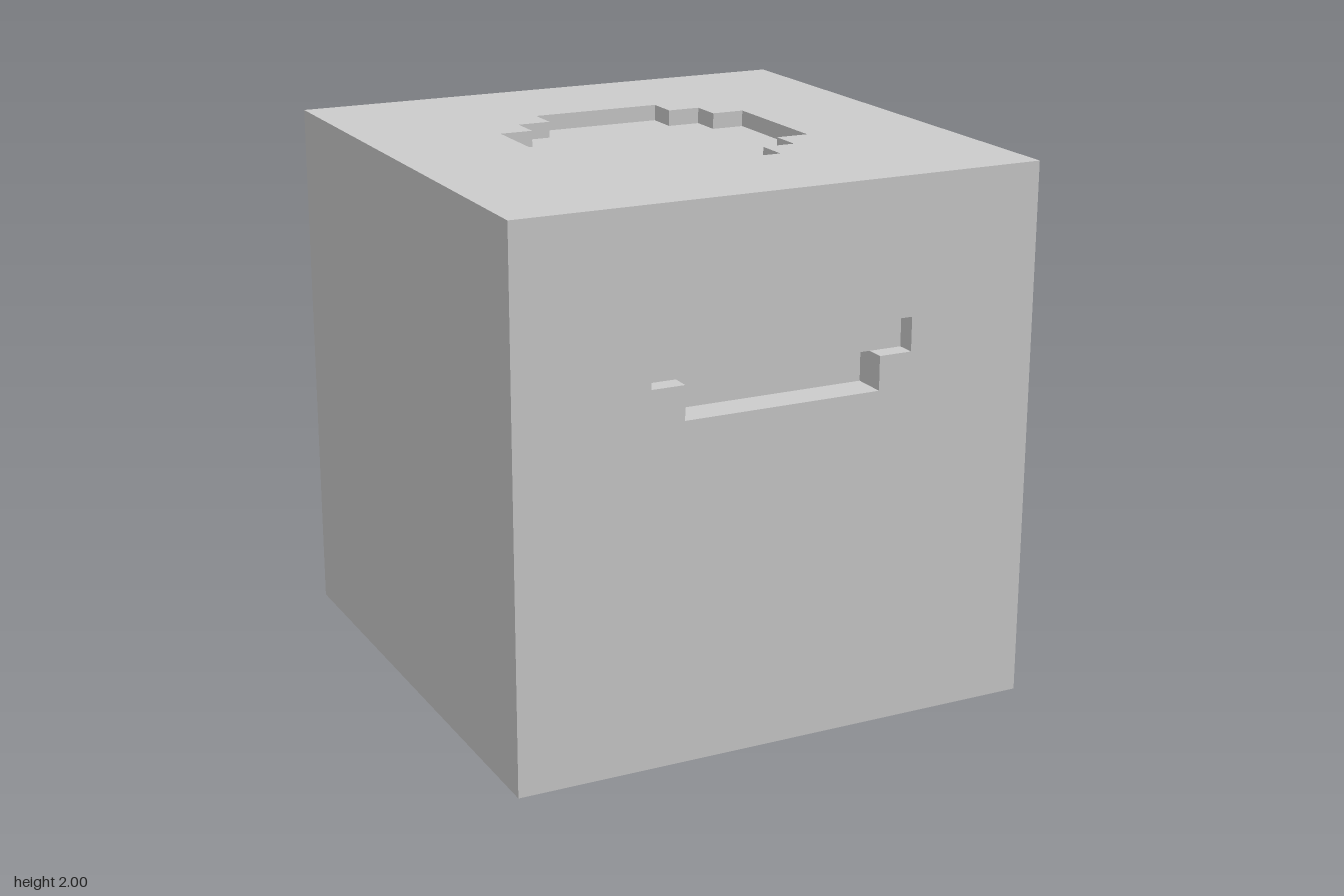
import * as THREE from 'three';

const material = new THREE.MeshStandardMaterial({ color: 0xcccccc, flatShading: true });

// Mirror the right half of an outline (bottom to top) into a full counter-clockwise one
const mirrored = (half) => [...half, ...half.map(([x, y]) => [-x, y]).reverse()]
  .map(([x, y]) => new THREE.Vector2(x, y));
const rect = (halfWidth, y0, y1) => mirrored([[halfWidth, y0], [halfWidth, y1]]);

function addMesh(parent, name, geometry) {
  const mesh = new THREE.Mesh(geometry, material);
  mesh.name = name;
  parent.add(mesh);
}

// Inward-facing walls following an outline between two levels
function wallGeometry(points, top, bottom) {
  const v = [];
  points.forEach((a, i) => {
    const b = points[(i + 1) % points.length];
    v.push(a.x, a.y, top, b.x, b.y, top, b.x, b.y, bottom);
    v.push(a.x, a.y, top, b.x, b.y, bottom, a.x, a.y, bottom);
  });
  const g = new THREE.BufferGeometry();
  g.setAttribute('position', new THREE.Float32BufferAttribute(v, 3));
  g.computeVertexNormals();
  return g;
}

// Sunken walls and floor; the floor may cover only part of the outline
function addRecess(parent, name, outline, from, depth, floor = outline) {
  addMesh(parent, name + 'Walls', wallGeometry(outline, from, from - depth));
  const g = new THREE.ShapeGeometry(new THREE.Shape(floor));
  g.translate(0, 0, from - depth);
  addMesh(parent, name + 'Floor', g);
}

// One cube side, facing +z before it is turned, with cut-outs
function makeSide(name, holes, rx, ry) {
  const side = new THREE.Group();
  side.name = name;
  const shape = new THREE.Shape(rect(1, -1, 1));
  shape.holes = holes.map((h) => new THREE.Path(h));
  const g = new THREE.ShapeGeometry(shape);
  g.translate(0, 0, 1);
  addMesh(side, name + 'Panel', g);
  side.rotation.set(rx, ry, 0);
  return side;
}

export function createModel() {
  const model = new THREE.Group();
  const cube = new THREE.Group();
  cube.name = 'cube';
  cube.position.y = 1;
  model.add(cube);

  // Front: wide slot with a narrower, deeper slot under it
  const slot = mirrored([[0.375, 0.25], [0.375, 0.375], [0.5, 0.375], [0.5, 0.5]]);
  const front = makeSide('front', [slot], 0, 0);
  addRecess(front, 'wideSlot', slot, 1, 0.07, rect(0.5, 0.375, 0.5));
  addRecess(front, 'deepSlot', rect(0.375, 0.25, 0.375), 0.93, 0.06);

  // Back: notched recess above two shallow bars
  const notch = mirrored([[0.5, 0.125], [0.5, 0.375], [0.375, 0.375],
    [0.375, 0.5], [0.125, 0.5], [0.125, 0.375]]);
  const bars = [rect(0.25, -0.375, -0.25), rect(0.25, -0.625, -0.5)];
  const back = makeSide('back', [notch, ...bars], 0, Math.PI);
  addRecess(back, 'notchedRecess', notch, 1, 0.085);
  bars.forEach((bar) => addRecess(back, 'bar', bar, 1, 0.02));

  // Top: stepped round recess
  const round = mirrored([[0.25, -0.5], [0.25, -0.375], [0.375, -0.375], [0.375, -0.25],
    [0.5, -0.25], [0.5, 0.25], [0.375, 0.25], [0.375, 0.375], [0.25, 0.375], [0.25, 0.5]]);
  const top = makeSide('top', [round], -Math.PI / 2, 0);
  addRecess(top, 'roundRecess', round, 1, 0.06);

  // Plain sides
  cube.add(front, back, top,
    makeSide('bottom', [], Math.PI / 2, 0),
    makeSide('leftSide', [], 0, Math.PI / 2),
    makeSide('rightSide', [], 0, -Math.PI / 2));
  return model;
}
